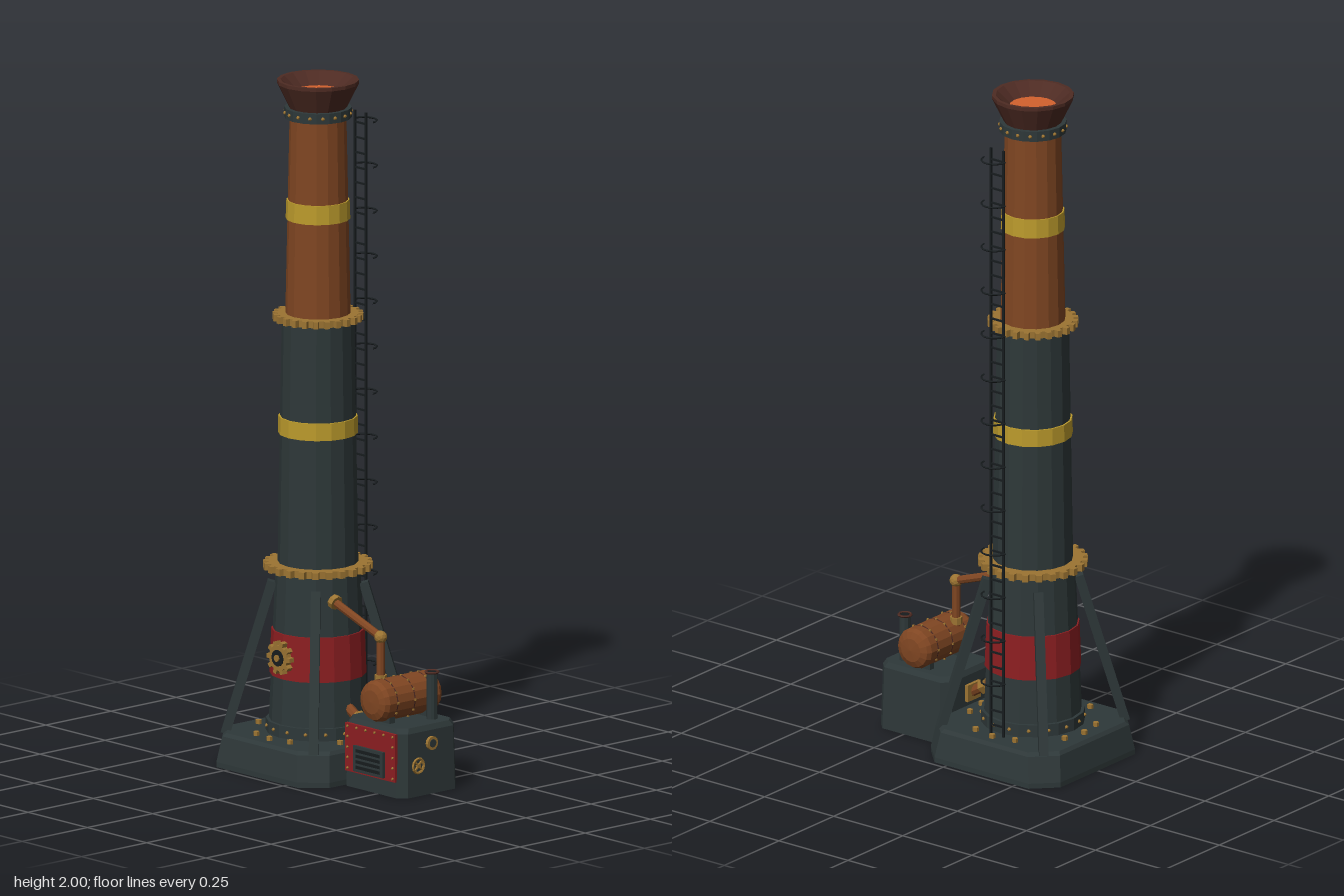
import * as THREE from 'three';
import { ConvexGeometry } from 'three/addons/geometries/ConvexGeometry.js';

const mat = (name, color, side = THREE.FrontSide) => {
  const m = new THREE.MeshStandardMaterial({ color, flatShading: true, side });
  m.name = name;
  return m;
};

export function createModel() {
  const slate = mat('slate iron', 0x2e3839), black = mat('black iron', 0x171c1e);
  const copper = mat('copper', 0x804622), umber = mat('dark copper', 0x4e2b23, THREE.DoubleSide);
  const brass = mat('brass', 0x9c7432), yellow = mat('yellow paint', 0xbb9a2c);
  const red = mat('red paint', 0x8c1e21), ember = mat('ember', 0xd4622e);

  const model = new THREE.Group();
  model.name = 'steamTower';
  const group = (name, x = 0, y = 0, z = 0) => {
    const g = new THREE.Group();
    g.name = name;
    g.position.set(x, y, z);
    model.add(g);
    return g;
  };
  const add = (parent, name, geo, m, x = 0, y = 0, z = 0) => {
    const mesh = new THREE.Mesh(geo, m);
    mesh.name = name;
    mesh.position.set(x, y, z);
    parent.add(mesh);
    return mesh;
  };
  const box = (p, name, w, h, d, m, x, y, z) => add(p, name, new THREE.BoxGeometry(w, h, d), m, x, y, z);
  const UP = new THREE.Vector3(0, 1, 0);
  // straight bar between two points
  const rod = (p, name, a, b, r, m, sides = 8) => {
    const A = new THREE.Vector3(...a), B = new THREE.Vector3(...b), d = B.clone().sub(A);
    const mesh = add(p, name, new THREE.CylinderGeometry(r, r, d.length(), sides), m);
    mesh.position.copy(A).add(B).multiplyScalar(0.5);
    mesh.quaternion.setFromUnitVectors(UP, d.normalize());
    return mesh;
  };
  // tapered ring or drum standing between two heights
  const drum = (p, name, y0, y1, r0, r1, m) =>
    add(p, name, new THREE.CylinderGeometry(r1, r0, y1 - y0, 16), m, 0, (y0 + y1) / 2, 0);
  // chamfered block from levels of [height, inset]
  const block = (p, name, hx, hz, c, levels, m) => {
    const pts = [];
    for (const [y, k] of levels) for (const sx of [-1, 1]) for (const sz of [-1, 1]) {
      pts.push(new THREE.Vector3(sx * (hx - k), y, sz * (hz - k - c)));
      pts.push(new THREE.Vector3(sx * (hx - k - c), y, sz * (hz - k)));
    }
    return add(p, name, new ConvexGeometry(pts), m);
  };
  // toothed ring, lying in the xy plane
  const gearGeo = (rOut, rRoot, rHole, teeth, depth) => {
    const s = new THREE.Shape();
    for (let i = 0; i < teeth; i++) {
      [[-0.3, rRoot], [-0.2, rOut], [0.2, rOut], [0.3, rRoot]].forEach(([o, r], j) => {
        const a = (i + o) / teeth * Math.PI * 2;
        s[i + j ? 'lineTo' : 'moveTo'](r * Math.cos(a), r * Math.sin(a));
      });
    }
    s.closePath();
    s.holes.push(new THREE.Path().absarc(0, 0, rHole, 0, Math.PI * 2, true));
    return new THREE.ExtrudeGeometry(s, { depth, bevelEnabled: false, curveSegments: 8 }).translate(0, 0, -depth / 2);
  };

  const tower = group('tower', -0.127);

  // foundation and its bolts
  block(tower, 'foundation', 0.235, 0.235, 0.065, [[0, 0], [0.015, 0], [0.09, 0.012], [0.1, 0.02]], slate);
  for (let i = 0; i < 16; i++) {
    if (i % 4 === 2) continue;
    const a = i / 16 * Math.PI * 2;
    add(tower, 'foundationBolt', new THREE.CylinderGeometry(0.009, 0.009, 0.014, 6), brass,
      0.186 * Math.cos(a), 0.105, 0.186 * Math.sin(a));
  }

  // stacked chimney drums and painted bands
  drum(tower, 'lowerDrum', 0.1, 0.58, 0.141, 0.121, slate);
  drum(tower, 'middleDrum', 0.58, 1.31, 0.115, 0.103, slate);
  drum(tower, 'upperDrum', 1.31, 1.93, 0.093, 0.08, copper);
  drum(tower, 'redBand', 0.27, 0.4, 0.138, 0.133, red);
  drum(tower, 'middleBand', 0.97, 1.02, 0.114, 0.113, yellow);
  drum(tower, 'upperBand', 1.595, 1.65, 0.092, 0.09, yellow);

  // riveted collars
  const collar = (name, y, h, r) => {
    drum(tower, name, y - h / 2, y + h / 2, r, r, slate);
    for (let i = 0; i < 16; i++) {
      const a = (i + 0.5) / 16 * Math.PI * 2, k = r * 0.985;
      add(tower, name + 'Rivet', new THREE.IcosahedronGeometry(0.006), brass, k * Math.cos(a), y, k * Math.sin(a));
    }
  };
  collar('footCollar', 0.12, 0.036, 0.149);
  collar('topCollar', 1.905, 0.03, 0.096);

  // toothed rings between the drums
  for (const [y, r, hole] of [[0.585, 0.156, 0.11], [1.31, 0.129, 0.09]]) {
    add(tower, 'toothedRing', gearGeo(r, r - 0.014, hole, 24, 0.02), brass, 0, y, 0).rotation.x = Math.PI / 2;
  }

  // flared mouth with glowing core
  const mouth = [[0.078, 1.91], [0.117, 1.99], [0.117, 2], [0.106, 2], [0.066, 1.965]];
  add(tower, 'flaredMouth', new THREE.LatheGeometry(mouth.map(p => new THREE.Vector2(...p)), 16), umber);
  add(tower, 'emberCore', new THREE.CircleGeometry(0.067, 16).rotateX(-Math.PI / 2), ember, 0, 1.966, 0);

  // diagonal buttress struts
  for (const sx of [-1, 1]) for (const sz of [-1, 1]) {
    rod(tower, 'strut', [sx * 0.186, 0.09, sz * 0.186], [sx * 0.092, 0.535, sz * 0.092], 0.019, slate, 4);
  }

  // gear emblem on the red band
  add(tower, 'emblemGear', gearGeo(0.049, 0.037, 0.02, 10, 0.018), brass, 0, 0.335, 0.145);
  const disc = (p, name, r, d, m, x, y, z) =>
    add(p, name, new THREE.CylinderGeometry(r, r, d, 12).rotateX(Math.PI / 2), m, x, y, z);
  disc(tower, 'emblemPlate', 0.024, 0.02, black, 0, 0.335, 0.147);
  disc(tower, 'emblemHub', 0.01, 0.024, brass, 0, 0.335, 0.149);

  // rear ladder with safety hoops
  const ladder = group('ladder', -0.127, 0, -0.163);
  for (const s of [-1, 1]) box(ladder, 'ladderRail', 0.006, 1.78, 0.006, black, s * 0.023, 0.99, 0);
  for (let i = 0; i < 40; i++) box(ladder, 'ladderRung', 0.046, 0.005, 0.005, black, 0, 0.13 + i * 0.044, 0);
  for (let i = 0; i < 13; i++) {
    add(ladder, 'safetyHoop', new THREE.TorusGeometry(0.038, 0.003, 4, 12, Math.PI).rotateX(-Math.PI / 2),
      black, 0, 0.268 + i * 0.132, -0.012);
  }

  // firebox
  const cx = 0.223;
  const fire = group('firebox', cx);
  block(fire, 'fireboxBody', 0.129, 0.114, 0.024, [[0, 0], [0.185, 0.004], [0.2, 0.012]], slate);
  box(fire, 'redPanel', 0.21, 0.14, 0.009, red, 0, 0.116, 0.114);
  for (let i = 0; i < 6; i++) for (const y of [0.055, 0.177]) {
    add(fire, 'panelRivet', new THREE.IcosahedronGeometry(0.005), brass, -0.095 + i * 0.038, y, 0.118);
  }
  for (const s of [-1, 1]) for (const y of [0.086, 0.116, 0.147]) {
    add(fire, 'panelRivet', new THREE.IcosahedronGeometry(0.005), brass, s * 0.095, y, 0.118);
  }
  box(fire, 'grille', 0.125, 0.075, 0.016, slate, 0, 0.09, 0.119);
  for (let i = 0; i < 4; i++) box(fire, 'grilleSlot', 0.1, 0.009, 0.004, black, 0, 0.066 + i * 0.016, 0.127);

  // gauge and hand wheel on the outer side
  const gauge = disc(fire, 'gauge', 0.02, 0.016, brass, 0.127, 0.148, 0);
  gauge.rotation.y = Math.PI / 2;
  disc(fire, 'gaugeFace', 0.012, 0.004, slate, 0.1345, 0.148, 0).rotation.y = Math.PI / 2;
  add(fire, 'handWheel', new THREE.TorusGeometry(0.021, 0.004, 5, 12), brass, 0.132, 0.09, 0.053).rotation.y = Math.PI / 2;
  for (const r of [0, Math.PI / 2]) {
    box(fire, 'wheelSpoke', 0.005, 0.042, 0.005, brass, 0.132, 0.09, 0.053).rotation.x = r + Math.PI / 4;
  }
  rod(fire, 'wheelAxle', [0.12, 0.09, 0.053], [0.136, 0.09, 0.053], 0.006, brass);

  // copper boiler lying across the firebox
  const boiler = group('boiler', cx, 0.262, 0);
  const shell = [[0, -0.12], [0.035, -0.117], [0.053, -0.108], [0.06, -0.095], [0.06, 0.095], [0.053, 0.108], [0.035, 0.115], [0, 0.117]];
  add(boiler, 'boilerShell', new THREE.LatheGeometry(shell.map(p => new THREE.Vector2(...p)), 16).rotateX(Math.PI / 2), copper);
  for (const z of [-0.066, 0, 0.066]) {
    disc(boiler, 'boilerHoop', 0.0615, 0.004, umber, 0, 0, z);
    for (let i = 0; i < 12; i++) {
      const a = i / 12 * Math.PI * 2;
      box(boiler, 'boilerRivet', 0.006, 0.006, 0.005, brass, 0.06 * Math.cos(a), 0.06 * Math.sin(a), z);
    }
  }
  for (const z of [-0.07, 0.07]) box(boiler, 'cradle', 0.08, 0.03, 0.02, slate, 0, -0.056, z);

  // exhaust stub
  const exhaust = group('exhaust', 0.293, 0, -0.055);
  rod(exhaust, 'exhaustPipe', [0, 0.19, 0], [0, 0.335, 0], 0.016, slate, 10);
  add(exhaust, 'exhaustRim', new THREE.TorusGeometry(0.018, 0.004, 5, 12).rotateX(Math.PI / 2), umber, 0, 0.336, 0);
  rod(exhaust, 'exhaustOpening', [0, 0.334, 0], [0, 0.337, 0], 0.014, black, 10);

  // steam pipe from boiler to tower
  const pipe = group('steamPipe', 0, 0, 0.045);
  rod(pipe, 'slopedPipe', [-0.03, 0.511, 0], [0.187, 0.435, 0], 0.012, copper);
  rod(pipe, 'uprightPipe', [0.187, 0.435, 0], [0.187, 0.29, 0], 0.012, copper);
  add(pipe, 'pipeElbow', new THREE.IcosahedronGeometry(0.019, 1), brass, 0.187, 0.435, 0);
  rod(pipe, 'pipeCollar', [0.187, 0.305, 0], [0.187, 0.325, 0], 0.018, brass);
  rod(pipe, 'towerFlange', [-0.014, 0.5055, 0], [0.002, 0.5, 0], 0.021, brass);

  // short feed pipe between tower and firebox
  const feed = group('feedPipe');
  rod(feed, 'feedTube', [0, 0.19, 0], [0.1, 0.13, 0], 0.015, copper);
  rod(feed, 'feedNut', [0.035, 0.169, 0], [0.055, 0.157, 0], 0.023, brass, 6);
  box(feed, 'feedFlange', 0.01, 0.05, 0.06, brass, 0.09, 0.136, 0);

  return model;
}
